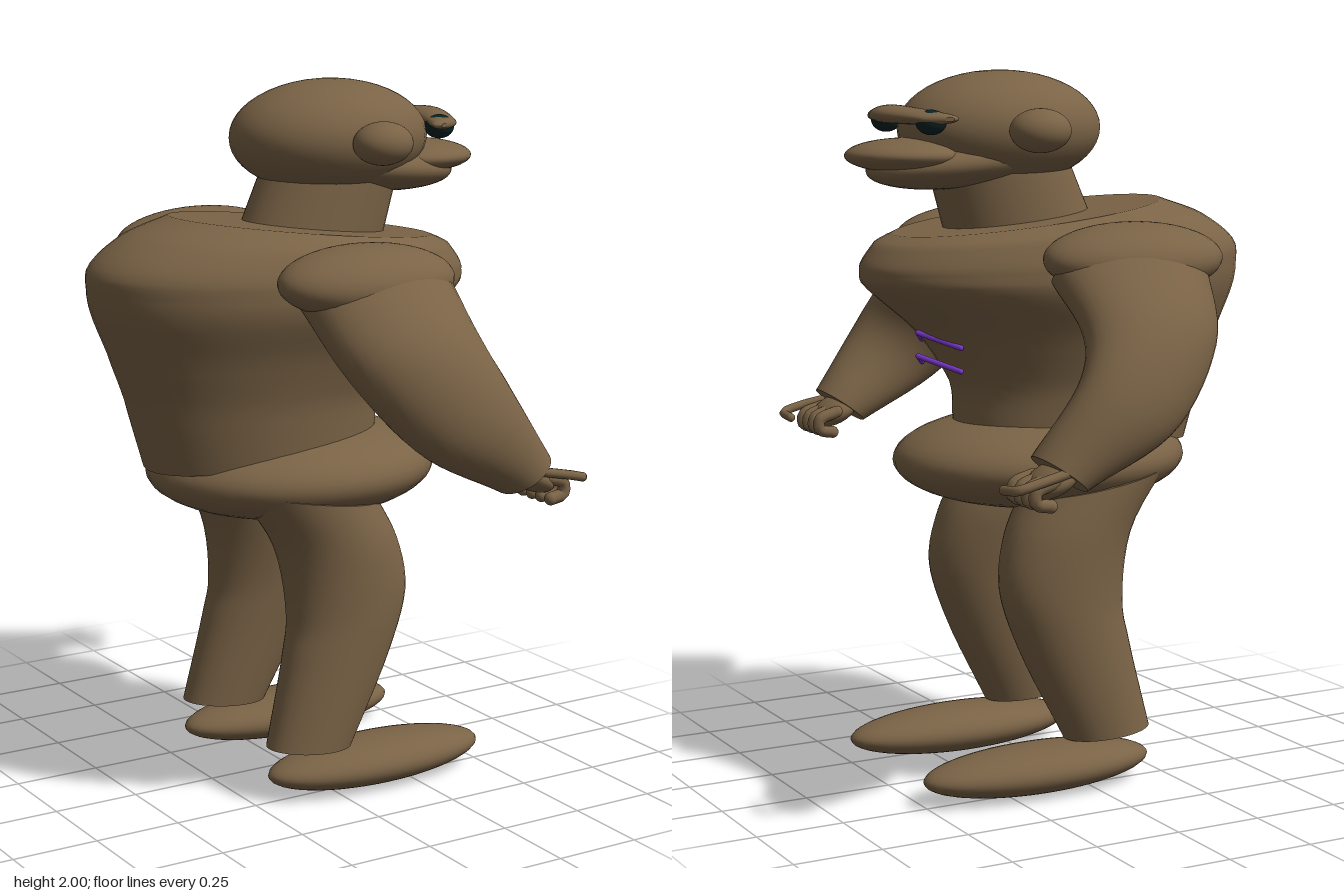
import * as THREE from 'three';

const brown = new THREE.MeshStandardMaterial({ name: 'brown hide', color: 0x7a6346 });
const purple = new THREE.MeshStandardMaterial({ name: 'purple stripe', color: 0x7a38cc });
const dark = new THREE.MeshStandardMaterial({ name: 'dark eye', color: 0x0a2224 });

const V = (a) => new THREE.Vector3(...a);

// Smooth skin through elliptical sections [centre, half axis u, half axis v], capped at both ends
function loft(name, sections, steps = 20, sides = 40) {
  const [C, U, W] = [0, 1, 2].map((k) => new THREE.CatmullRomCurve3(sections.map((s) => V(s[k]))));
  const u0 = V(sections[0][1]), v0 = V(sections[0][2]);
  const flip = u0.cross(v0).dot(V(sections[1][0]).sub(V(sections[0][0]))) < 0;
  const pos = [], idx = [];
  const tri = (a, b, c) => (flip ? idx.push(a, c, b) : idx.push(a, b, c));
  const ring = (t) => {
    const c = C.getPoint(t), u = U.getPoint(t), v = W.getPoint(t);
    for (let j = 0; j < sides; j++) {
      const a = (j / sides) * Math.PI * 2;
      const p = c.clone().addScaledVector(u, Math.cos(a)).addScaledVector(v, Math.sin(a));
      pos.push(p.x, p.y, p.z);
    }
    return c;
  };
  for (let i = 0; i <= steps; i++) ring(i / steps);
  for (let i = 0; i < steps; i++) {
    for (let j = 0; j < sides; j++) {
      const k = (j + 1) % sides, a = i * sides, b = a + sides;
      tri(a + j, a + k, b + k);
      tri(a + j, b + k, b + j);
    }
  }
  for (const t of [0, 1]) {
    const base = pos.length / 3, c = ring(t);
    pos.push(c.x, c.y, c.z);
    for (let j = 0; j < sides; j++) {
      const k = (j + 1) % sides;
      if (t) tri(base + sides, base + j, base + k);
      else tri(base + sides, base + k, base + j);
    }
  }
  const g = new THREE.BufferGeometry();
  g.setAttribute('position', new THREE.Float32BufferAttribute(pos, 3));
  g.setIndex(idx);
  g.computeVertexNormals();
  const m = new THREE.Mesh(g, brown);
  m.name = name;
  return m;
}

function ellipsoid(name, c, r, mat = brown, tilt = [0, 0, 0]) {
  const m = new THREE.Mesh(new THREE.SphereGeometry(1, 36, 24), mat);
  m.name = name;
  m.position.set(...c);
  m.scale.set(...r);
  m.rotation.set(...tilt);
  return m;
}

function tube(name, points, radius, mat = brown) {
  const path = new THREE.CatmullRomCurve3(points.map(V));
  const g = new THREE.Group();
  g.name = name;
  g.add(new THREE.Mesh(new THREE.TubeGeometry(path, 12, radius, 10), mat));
  for (const p of [points[0], points[points.length - 1]]) {
    g.add(ellipsoid(name + 'End', p, [radius, radius, radius], mat));
  }
  return g;
}

// Section from its back point, front point and half width across z
const slice = ([xb, yb, xf, yf, w, z = 0]) => [
  [(xb + xf) / 2, (yb + yf) / 2, z], [(xf - xb) / 2, (yf - yb) / 2, 0], [0, 0, w],
];

function makeHead() {
  const head = new THREE.Group();
  head.name = 'head';
  head.add(
    ellipsoid('skull', [0.14, 1.84, 0], [0.295, 0.16, 0.235]),
    ellipsoid('jaw', [0.24, 1.755, 0], [0.3, 0.075, 0.185], brown, [0, 0, -0.1]),
    ellipsoid('muzzle', [0.42, 1.77, 0], [0.178, 0.048, 0.165]),
    // curved brow ridge
    loft('brow', [
      [[0.395, 1.872, -0.205], [0.012, 0, 0.004], [0, 0.006, 0]],
      [[0.412, 1.873, -0.18], [0.05, 0, 0.012], [0, 0.015, 0]],
      [[0.445, 1.878, -0.1], [0.055, 0, 0.012], [0, 0.022, 0]],
      [[0.468, 1.882, 0], [0.055, 0, 0], [0, 0.026, 0]],
      [[0.445, 1.878, 0.1], [0.055, 0, -0.012], [0, 0.022, 0]],
      [[0.412, 1.873, 0.18], [0.05, 0, -0.012], [0, 0.015, 0]],
      [[0.395, 1.872, 0.205], [0.012, 0, -0.004], [0, 0.006, 0]],
    ], 28, 20),
  );
  for (const s of [1, -1]) {
    head.add(
      ellipsoid('ear', [0.152, 1.84, s * 0.262], [0.087, 0.06, 0.074]),
      ellipsoid('eye', [0.42, 1.863, s * 0.142], [0.042, 0.034, 0.042], dark),
    );
  }
  return head;
}

function makeArm(s) {
  const arm = new THREE.Group();
  arm.name = s > 0 ? 'rightSideArm' : 'leftSideArm';
  arm.add(
    ellipsoid('shoulderCap', [-0.025, 1.505, s * 0.458], [0.265, 0.095, 0.15], brown, [s * 0.15, 0, 0]),
    loft('armSleeve', [
      [[-0.005, 1.47, s * 0.47], [0.23, 0, 0], [0, 0.07, s * 0.11]],
      [[0.022, 1.31, s * 0.625], [0.195, 0.03, 0], [0, 0.05, s * 0.11]],
      [[0.13, 1.15, s * 0.697], [0.135, 0.075, 0], [0, 0.012, s * 0.1]],
      [[0.33, 0.985, s * 0.688], [0.068, 0.05, 0], [0, 0, s * 0.087]],
    ]),
    ellipsoid('palm', [0.35, 0.972, s * 0.685], [0.075, 0.038, 0.08], brown, [0, 0, -0.5]),
    tube('thumb', [
      [0.33, 1.0, s * 0.755], [0.43, 0.98, s * 0.765], [0.485, 0.965, s * 0.755], [0.49, 0.957, s * 0.69],
    ], 0.013),
  );
  // curled fingers
  for (let i = 0; i < 4; i++) {
    const z = s * (0.62 + i * 0.041);
    arm.add(tube('finger', [[0.37, 0.975, z], [0.425, 0.955, z], [0.425, 0.925, z], [0.385, 0.915, z]], 0.018));
  }
  return arm;
}

function makeLeg(s) {
  const leg = new THREE.Group();
  leg.name = s > 0 ? 'rightSideLeg' : 'leftSideLeg';
  leg.add(
    loft('trouserLeg', [
      [-0.27, 0.9, 0.17, 0.83, 0.15, s * 0.198],
      [-0.15, 0.72, 0.225, 0.72, 0.143, s * 0.208],
      [-0.12, 0.52, 0.25, 0.57, 0.125, s * 0.222],
      [-0.14, 0.4, 0.195, 0.4, 0.113, s * 0.23],
      [-0.2, 0.155, 0.06, 0.135, 0.092, s * 0.242],
    ].map(slice)),
    ellipsoid('foot', [0.152, 0.068, s * 0.243], [0.35, 0.068, 0.126]),
  );
  return leg;
}

export function createModel() {
  const model = new THREE.Group();
  model.name = 'figure';
  model.add(
    loft('torso', [
      [-0.44, 0.94, 0.27, 1.02, 0.245],
      [-0.495, 1.13, 0.28, 1.13, 0.262],
      [-0.545, 1.27, 0.38, 1.275, 0.305],
      [-0.6, 1.43, 0.545, 1.42, 0.366],
      [-0.6, 1.5, 0.55, 1.46, 0.364],
      [-0.49, 1.59, 0.505, 1.525, 0.335],
      [-0.35, 1.64, 0.45, 1.55, 0.28],
    ].map(slice), 30, 56),
    loft('neck', [
      [-0.15, 1.56, 0.29, 1.51, 0.158],
      [-0.06, 1.76, 0.35, 1.73, 0.155],
    ].map(slice), 6),
    ellipsoid('pelvis', [0.015, 0.91, 0], [0.43, 0.14, 0.362]),
    makeHead(),
  );
  for (const s of [1, -1]) model.add(makeArm(s), makeLeg(s));

  // chest chevrons, each from two straight bars
  for (const y of [1.28, 1.215]) {
    for (const s of [1, -1]) {
      model.add(tube('chestChevron', [[0.395, y, 0], [0.325, y - 0.033, s * 0.122]], 0.008, purple));
    }
  }
  return model;
}
